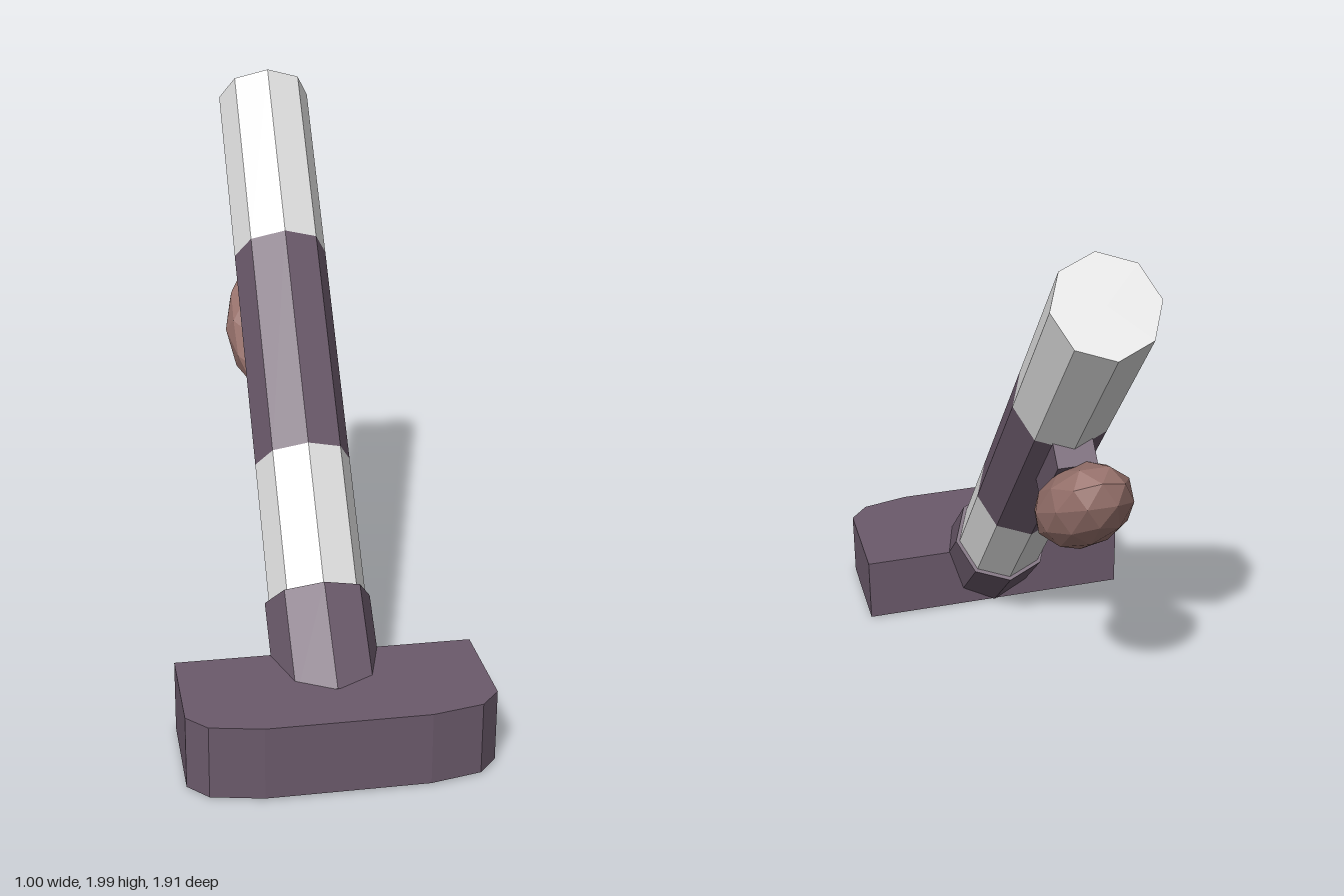
import * as THREE from 'three';

const mat = (name, color) => {
  const m = new THREE.MeshStandardMaterial({ color, flatShading: true });
  m.name = name;
  return m;
};

export function createModel() {
  const model = new THREE.Group();
  const purple = mat('dusky purple', 0x6b5a6b);
  const white = mat('pale grey', 0xe2e2e2);
  const brown = mat('reddish brown', 0x9a746e);

  const add = (parent, name, geometry, material) => {
    const mesh = new THREE.Mesh(geometry, material);
    mesh.name = name;
    parent.add(mesh);
    return mesh;
  };

  // Foot block: bevelled outline extruded upwards (outline y becomes -z)
  const outline = [
    [-0.5, 0.498], [-0.5, 0.85], [-0.435, 0.92], [-0.265, 0.955],
    [0.265, 0.955], [0.435, 0.92], [0.5, 0.85], [0.5, 0.498],
  ].map(([x, z]) => new THREE.Vector2(x, -z));
  const foot = new THREE.ExtrudeGeometry(new THREE.Shape(outline), { depth: 0.247, bevelEnabled: false });
  foot.rotateX(-Math.PI / 2).translate(0, 0.015, 0);
  add(model, 'foot', foot, purple);

  // Everything else sits in a frame tilted back by 45 degrees
  const tilted = new THREE.Group();
  tilted.name = 'tiltedAssembly';
  tilted.rotation.x = -Math.PI / 4;
  model.add(tilted);

  // Collar joining the foot and the shaft
  const collar = new THREE.CylinderGeometry(0.18, 0.18, 0.359, 8);
  add(tilted, 'collar', collar.translate(0, -0.1665, 0.54), purple);

  // Leans a geometry along the shaft: z drifts with y
  const lean = (geometry) => geometry.applyMatrix4(new THREE.Matrix4().set(
    1, 0, 0, 0,
    0, 1, 0, 0,
    0, 0.105, 1, 0.5387,
    0, 0, 0, 1,
  ));

  // Shaft bands, bottom to top
  const bands = [
    ['lowerShaft', -0.005, 0.497, white],
    ['shaftGrip', 0.497, 1.281, purple],
    ['upperShaft', 1.281, 1.925, white],
  ];
  for (const [name, y0, y1, material] of bands) {
    const band = new THREE.CylinderGeometry(0.166, 0.166, y1 - y0, 8);
    add(tilted, name, lean(band.translate(0, (y0 + y1) / 2, 0)), material);
  }

  // Mounting plate under the shaft
  const plate = new THREE.BoxGeometry(0.13, 0.304, 0.11);
  add(tilted, 'mountingPlate', lean(plate.translate(0, 1.14, -0.167)), purple);

  // Faceted pod
  const pod = new THREE.IcosahedronGeometry(1, 1);
  pod.scale(0.157, 0.268, 0.127).translate(-0.03, 1.149, 0.357);
  add(tilted, 'pod', pod, brown);

  return model;
}
